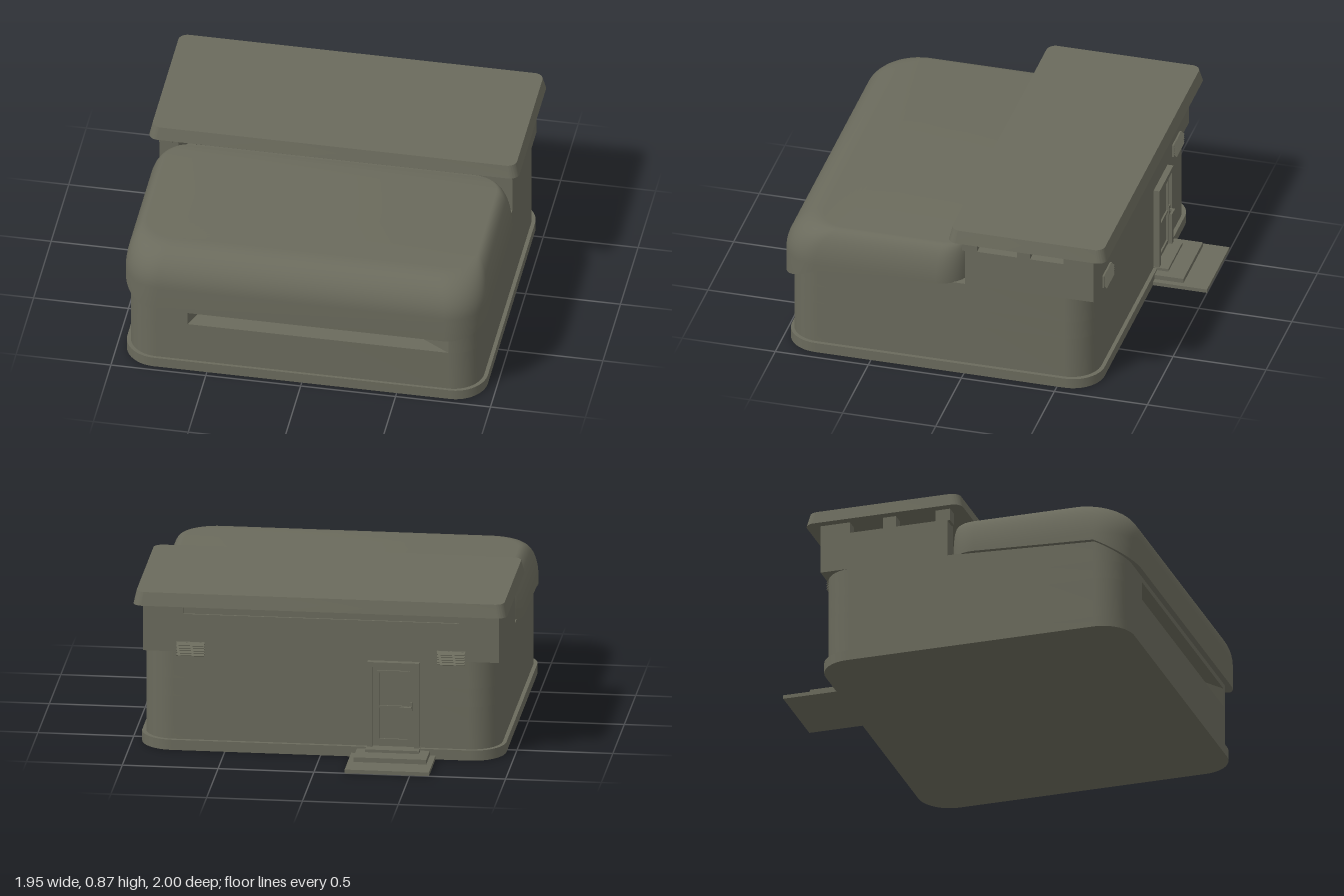
import * as THREE from 'three';
import { toCreasedNormals } from 'three/addons/utils/BufferGeometryUtils.js';

const concrete = new THREE.MeshStandardMaterial({ color: 0x6a6a5c });
concrete.name = 'concrete';

// Plan outlines are drawn in (x, -z) and extruded upwards.
function roundedPlan(w, zBack, zFront, r) {
  const s = new THREE.Shape();
  s.absarc(w - r, -zFront + r, r, -Math.PI / 2, 0);
  s.absarc(w - r, -zBack - r, r, 0, Math.PI / 2);
  s.absarc(-w + r, -zBack - r, r, Math.PI / 2, Math.PI);
  s.absarc(-w + r, -zFront + r, r, Math.PI, Math.PI * 1.5);
  s.closePath();
  return s;
}

function extrudeUp(shape, y0, y1) {
  const g = new THREE.ExtrudeGeometry(shape, { depth: y1 - y0, bevelEnabled: false, curveSegments: 10 });
  g.rotateX(-Math.PI / 2).translate(0, y0, 0);
  return g;
}

// Front hood: a rounded plan lofted up into a domed edge, with a sloping underside.
function hoodGeometry() {
  const W = 0.955, RF = 0.2, RB = 0.15, half = [];
  for (let i = 0; i <= 8; i++) {
    const a = (i / 8) * Math.PI / 2;
    half.push([W - RB + RB * Math.sin(a), RB - RB * Math.cos(a)]);
  }
  half.push([W, 0.5]);
  for (let i = 0; i <= 12; i++) {
    const a = (i / 12) * Math.PI / 2;
    half.push([W - RF + RF * Math.cos(a), 1 - RF + RF * Math.sin(a)]);
  }
  const plan = [...half, ...half.slice().reverse().map(([x, z]) => [-x, z])];
  const n = plan.length;
  const cut = z => z > 0.8 ? 0.495 - (z - 0.8) * 0.525 : 0.53 - z * 0.044;
  const rings = [plan.map(([x, z]) => [x, cut(z), z])];
  for (let k = 0; k <= 12; k++) {
    const a = (k / 12) * Math.PI / 2, c = 1 - Math.cos(a);
    rings.push(plan.map(([x, z]) => [x * (1 - 0.089 * c), 0.53 + 0.2 * Math.sin(a), z * (1 - 0.18 * c)]));
  }
  const pos = [];
  const quad = (a, b, c, d) => pos.push(...a, ...b, ...c, ...a, ...c, ...d);
  for (let k = 0; k + 1 < rings.length; k++) {
    const lo = rings[k], hi = rings[k + 1];
    for (let i = 0; i + 1 < n; i++) quad(lo[i + 1], lo[i], hi[i], hi[i + 1]);
    quad(lo[0], lo[n - 1], hi[n - 1], hi[0]);
  }
  const bottom = rings[0], top = rings[rings.length - 1];
  for (let i = 0; i < n / 2 - 1; i++) {
    const j = n - 1 - i;
    quad(top[i], top[j], top[j - 1], top[i + 1]);
    quad(bottom[j], bottom[i], bottom[i + 1], bottom[j - 1]);
  }
  const g = new THREE.BufferGeometry();
  g.setAttribute('position', new THREE.Float32BufferAttribute(pos, 3));
  return toCreasedNormals(g, 0.5);
}

export function createModel() {
  const model = new THREE.Group();
  model.name = 'bunker';

  function add(name, geometry, parent = model) {
    const m = new THREE.Mesh(geometry, concrete);
    m.name = name;
    parent.add(m);
    return m;
  }
  // Box given by its limits on each axis
  function block(name, x0, x1, y0, y1, z0, z1, parent) {
    const g = new THREE.BoxGeometry(x1 - x0, y1 - y0, z1 - z0);
    g.translate((x0 + x1) / 2, (y0 + y1) / 2, (z0 + z1) / 2);
    return add(name, g, parent);
  }

  // Plinth
  add('plinth', toCreasedNormals(extrudeUp(roundedPlan(0.95, -0.71, 0.97, 0.17), 0, 0.055), 0.5));

  // Hollow body walls
  const W = 0.93, B = -0.69, F = 0.955, R = 0.16, T = 0.14;
  const inner = [[-W + T, -F + T], [-W + T, -B - T], [W - T, -B - T], [W - T, -F + T]];
  for (const [name, y0, y1] of [['lowerWall', 0.055, 0.285], ['upperWall', 0.385, 0.53]]) {
    const ring = roundedPlan(W, B, F, R);
    ring.holes.push(new THREE.Path(inner.map(p => new THREE.Vector2(...p))));
    add(name, toCreasedNormals(extrudeUp(ring, y0, y1), 0.5));
  }
  // Middle band, open at the front with splayed reveals
  const band = new THREE.Shape();
  band.moveTo(0.605, -F);
  band.absarc(W - R, -F + R, R, -Math.PI / 2, 0);
  band.absarc(W - R, -B - R, R, 0, Math.PI / 2);
  band.absarc(-W + R, -B - R, R, Math.PI / 2, Math.PI);
  band.absarc(-W + R, -F + R, R, Math.PI, Math.PI * 1.5);
  band.lineTo(-0.605, -F);
  band.lineTo(-0.55, -F + T);
  inner.forEach(p => band.lineTo(...p));
  band.lineTo(0.55, -F + T);
  band.closePath();
  add('slotWall', toCreasedNormals(extrudeUp(band, 0.285, 0.385), 0.5));

  add('frontHood', hoodGeometry());

  // Square-cornered upper storey with side window gaps
  block('rearUpperWall', -W, W, 0.53, 0.735, B, -0.62);
  block('rearWindowPanel', -0.72, 0.72, 0.735, 0.795, -0.68, -0.62);
  for (const s of [-1, 1]) {
    const side = (name, a, b, y0, y1, z0, z1) =>
      block(name, Math.min(s * a, s * b), Math.max(s * a, s * b), y0, y1, z0, z1);
    side('sideUpperWall', 0.83, W, 0.53, 0.735, -0.62, 0);
    side('rearCornerPost', 0.72, W, 0.735, 0.795, B, -0.62);
    side('rearSidePost', 0.86, W, 0.735, 0.795, -0.62, -0.53);
    side('middlePost', 0.86, W, 0.735, 0.795, -0.35, -0.28);
    side('frontPost', 0.86, W, 0.73, 0.795, -0.065, 0.015);
  }

  // Roof slab, tapering upwards
  const roof = extrudeUp(roundedPlan(0.975, -0.425, 0.425, 0.05), 0.795, 0.865);
  const p = roof.attributes.position;
  for (let i = 0; i < p.count; i++) {
    if (p.getY(i) > 0.83) p.setXYZ(i, p.getX(i) * 0.984, p.getY(i), p.getZ(i) * 0.963);
  }
  roof.translate(0, 0, -0.34);
  add('roof', toCreasedNormals(roof, 0.5));

  // Ceiling lamps
  for (const x of [0, 0.445]) block('ceilingLamp', x - 0.06, x + 0.06, 0.78, 0.797, -0.265, -0.225);

  // Rear door
  const door = new THREE.Group();
  door.name = 'door';
  model.add(door);
  const DX = -0.38;
  block('doorLeaf', DX - 0.11, DX + 0.11, 0.06, 0.5, -0.7, -0.685, door);
  for (const s of [-1, 1]) {
    block('doorJamb', DX + s * 0.122 - 0.013, DX + s * 0.122 + 0.013, 0.055, 0.52, -0.722, -0.685, door);
    block('panelSide', DX + s * 0.08 - 0.006, DX + s * 0.08 + 0.006, 0.09, 0.47, -0.709, -0.695, door);
  }
  block('doorLintel', DX - 0.109, DX + 0.109, 0.495, 0.52, -0.722, -0.685, door);
  for (const y of [0.09, 0.27, 0.46]) block('panelRail', DX - 0.08, DX + 0.08, y, y + 0.012, -0.709, -0.695, door);
  block('handlePlate', DX - 0.1, DX - 0.075, 0.255, 0.305, -0.715, -0.695, door);
  block('handle', DX - 0.095, DX - 0.035, 0.275, 0.285, -0.742, -0.73, door);
  block('handleStem', DX - 0.095, DX - 0.083, 0.275, 0.285, -0.735, -0.71, door);

  // Rear steps
  block('lowerStep', -0.6, -0.16, 0, 0.02, -1, -0.7);
  block('upperStep', -0.57, -0.19, 0.02, 0.045, -0.865, -0.7);
  block('doorSill', -0.52, -0.24, 0.045, 0.06, -0.77, -0.69);

  // Louvred vents on the rear wall
  for (const x of [-0.68, 0.68]) {
    const vent = new THREE.Group();
    vent.name = 'vent';
    model.add(vent);
    block('ventPlate', x - 0.075, x + 0.075, 0.515, 0.585, -0.7, -0.68, vent);
    for (let i = 0; i < 5; i++) {
      const slat = add('ventSlat', new THREE.BoxGeometry(0.145, 0.004, 0.022), vent);
      slat.position.set(x, 0.523 + i * 0.0135, -0.706);
      slat.rotation.x = -0.7;
    }
  }
  return model;
}
